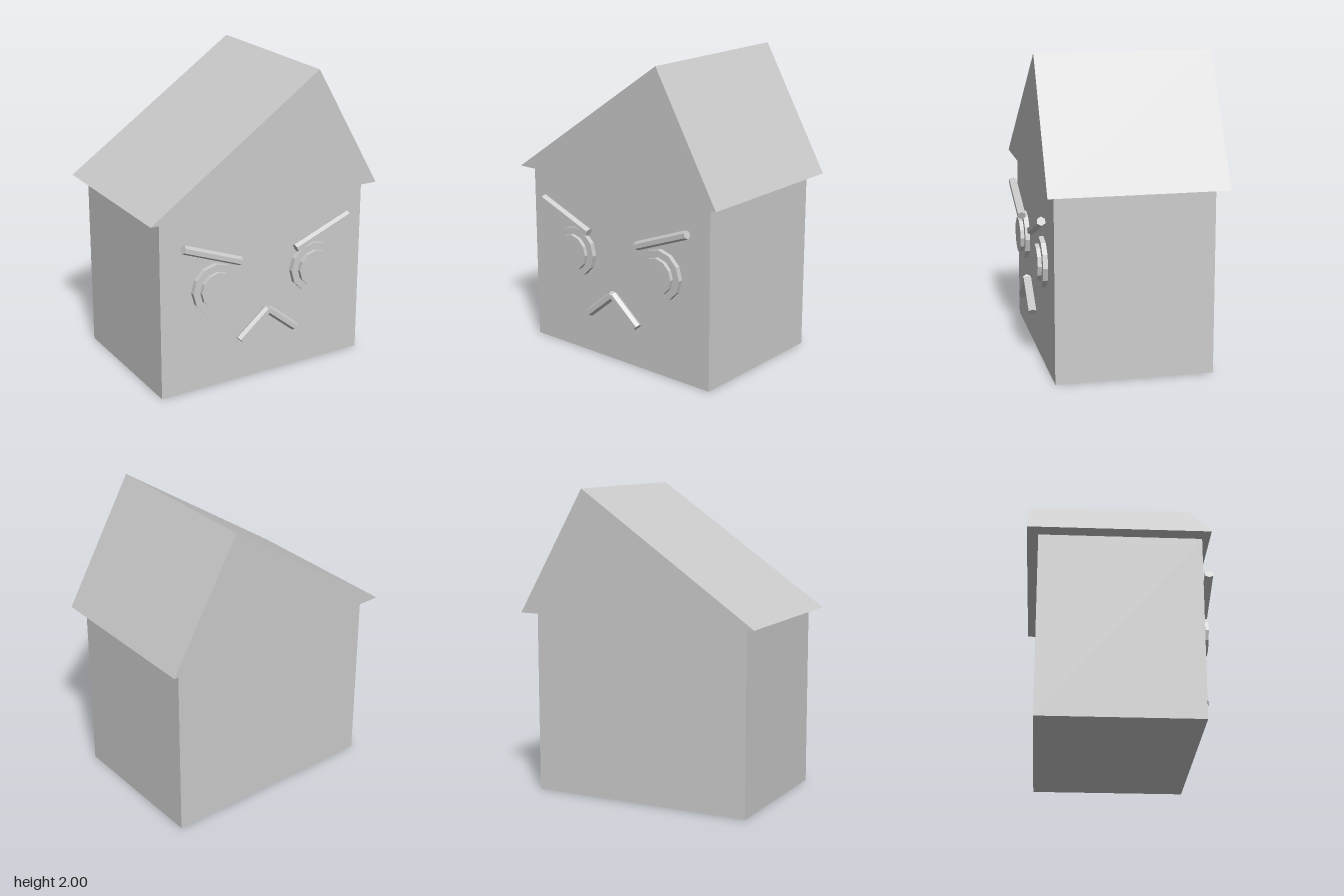
import * as THREE from 'three';

export function createModel() {
  const model = new THREE.Group();
  const grey = new THREE.MeshStandardMaterial({ color: 0xcccccc, flatShading: true });
  grey.name = 'light grey';

  const add = (name, geometry, x = 0, y = 0, z = 0) => {
    const mesh = new THREE.Mesh(geometry, grey);
    mesh.name = name;
    mesh.position.set(x, y, z);
    model.add(mesh);
    return mesh;
  };

  // Hexagonal bar lying in the face plane between two points, flat side forward
  const addBar = (name, x1, y1, x2, y2) => {
    const length = Math.hypot(x2 - x1, y2 - y1);
    const geometry = new THREE.CylinderGeometry(0.029, 0.029, length, 6).rotateY(Math.PI / 6);
    const bar = add(name, geometry, (x1 + x2) / 2, (y1 + y2) / 2, 0.554);
    bar.rotation.z = Math.atan2(y2 - y1, x2 - x1) - Math.PI / 2;
  };

  // Twelve-sided disc facing forward
  const addDisc = (name, radius, x, y, back, front) => {
    const geometry = new THREE.CylinderGeometry(radius, radius, front - back, 12).rotateX(Math.PI / 2);
    add(name, geometry, x, y, (back + front) / 2);
  };

  // House body
  add('body', new THREE.BoxGeometry(1.49, 1.18, 1.01), 0, 0.59, -0.005);

  // Lopsided gable roof, floating just above the walls
  const gable = new THREE.Shape([
    new THREE.Vector2(-0.825, 1.19),
    new THREE.Vector2(0.825, 1.19),
    new THREE.Vector2(0.36, 2),
  ]);
  add('roof', new THREE.ExtrudeGeometry(gable, { depth: 1.13, bevelEnabled: false }), 0, 0, -0.58);

  // Angry face, mirrored left and right
  for (const [side, s] of [['left', 1], ['right', -1]]) {
    addDisc(side + 'Eye', 0.167, s * 0.362, 0.682, 0.48, 0.532);
    addDisc(side + 'Pupil', 0.12, s * 0.362, 0.682, 0.5, 0.558);
    addBar(side + 'Eyebrow', s * 0.61, 1.007, s * 0.207, 0.85);
    addBar(side + 'Mouth', s * 0.207, 0.303, 0, 0.473);
  }

  return model;
}
